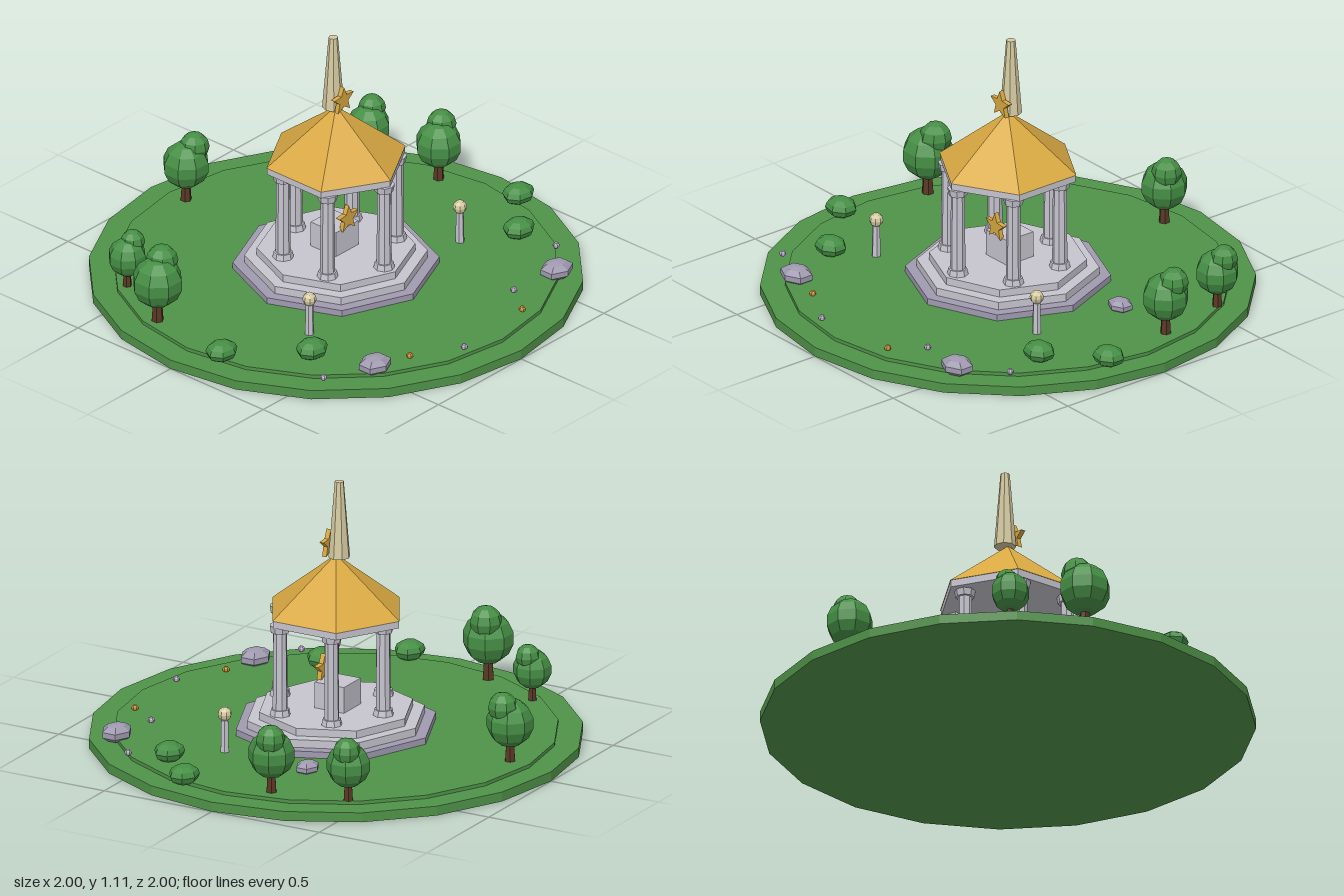
import * as THREE from 'three';

const mat = (name, color) => {
  const m = new THREE.MeshStandardMaterial({ color, flatShading: true });
  m.name = name;
  return m;
};

export function createModel() {
  const model = new THREE.Group();
  model.name = 'gardenPavilion';

  const grass = mat('grass', 0x509349);
  const leaf = mat('leaf', 0x468f45);
  const bark = mat('bark', 0x5a3825);
  const paleStone = mat('paleStone', 0xc6c4ce);
  const lilacStone = mat('lilacStone', 0xa09ab0);
  const gold = mat('gold', 0xd8a842);
  const cream = mat('cream', 0xd6cba2);
  const orange = mat('orange', 0xd08f35);
  const lilac = mat('lilac', 0xb9abc9);

  const GROUND = 0.055;

  const add = (name, geo, material, x = 0, y = 0, z = 0, parent = model) => {
    const mesh = new THREE.Mesh(geo, material);
    mesh.name = name;
    mesh.position.set(x, y, z);
    parent.add(mesh);
    return mesh;
  };
  // Upright prism or frustum standing between two heights
  const prism = (name, material, rTop, rBottom, y0, y1, sides, x = 0, z = 0, parent = model) =>
    add(name, new THREE.CylinderGeometry(rTop, rBottom, y1 - y0, sides), material, x, (y0 + y1) / 2, z, parent);
  const group = (name) => {
    const g = new THREE.Group();
    g.name = name;
    model.add(g);
    return g;
  };

  // Island
  prism('lawnBase', grass, 1, 1, 0, 0.04, 20);
  prism('lawnTop', grass, 0.9, 0.9, 0.04, GROUND, 20);

  // Octagonal steps
  prism('lowerStep', lilacStone, 0.417, 0.417, GROUND, 0.082, 8);
  prism('middleStep', paleStone, 0.37, 0.37, 0.08, 0.115, 8);
  prism('upperStep', paleStone, 0.32, 0.32, 0.115, 0.147, 8);

  // Six columns with base and capital
  for (let i = 0; i < 6; i++) {
    const a = (i * Math.PI) / 3;
    const x = 0.24 * Math.sin(a);
    const z = 0.02 + 0.24 * Math.cos(a);
    const column = group('column');
    prism('columnBase', paleStone, 0.038, 0.043, 0.147, 0.172, 8, x, z, column);
    prism('columnShaft', paleStone, 0.028, 0.031, 0.172, 0.505, 8, x, z, column);
    prism('columnCapital', paleStone, 0.043, 0.038, 0.5, 0.53, 8, x, z, column);
  }

  // Roof and spire
  prism('roofSlab', paleStone, 0.292, 0.292, 0.528, 0.558, 6);
  add('roof', new THREE.ConeGeometry(0.295, 0.235, 6), gold, 0, 0.6755, 0);
  prism('spire', cream, 0.019, 0.045, 0.785, 1.107, 8, 0, -0.015);

  // Five-pointed stars
  const starShape = new THREE.Shape();
  for (let i = 0; i < 10; i++) {
    const r = i % 2 ? 0.027 : 0.06;
    const a = Math.PI / 2 + (i * Math.PI) / 5;
    starShape[i ? 'lineTo' : 'moveTo'](r * Math.cos(a), r * Math.sin(a));
  }
  starShape.closePath();
  const starGeo = new THREE.ExtrudeGeometry(starShape, { depth: 0.02, bevelEnabled: false });
  starGeo.translate(0, 0, -0.01);
  add('roofStar', starGeo, gold, 0, 0.835, 0.034);

  // Altar under the roof with its star
  add('altar', new THREE.BoxGeometry(0.136, 0.11, 0.136), paleStone, 0, 0.202, -0.008);
  add('altarStar', starGeo, gold, 0, 0.298, 0.06);

  // Trees: x, z, scale, sideways shift of the small crown
  const trees = [
    [0, -0.81, 0.92, 0.015],
    [-0.68, -0.52, 0.75, 0.005],
    [-0.81, -0.24, 1, -0.01],
    [0.74, -0.485, 0.85, -0.01],
    [0.805, -0.165, 0.91, -0.015],
  ];
  for (const [x, z, s, dz] of trees) {
    const tree = group('tree');
    prism('trunk', bark, 0.018 * s, 0.025 * s, GROUND, GROUND + 0.11 * s, 6, x, z, tree);
    const crown = add('crown', new THREE.SphereGeometry(0.106 * s, 8, 7), leaf, x, GROUND + 0.177 * s, z, tree);
    crown.rotation.y = Math.PI / 8;
    crown.scale.y = 1.03;
    add('upperCrown', new THREE.SphereGeometry(0.067 * s, 8, 6), leaf, x + 0.037 * s, GROUND + 0.258 * s, z + dz, tree);
  }

  // Bushes
  for (const [x, z] of [[-0.87, 0.16], [-0.615, 0.42], [0.885, 0.195], [0.675, 0.385]]) {
    const bush = add('bush', new THREE.SphereGeometry(0.07, 7, 6), leaf, x, 0.09, z);
    bush.scale.set(1.02, 0.6, 0.88);
  }

  // Rocks, six-sided and flattened
  for (const [x, z, r] of [[-0.52, 0.675, 0.065], [0.545, 0.705, 0.065], [0.515, -0.165, 0.05]]) {
    const geo = new THREE.SphereGeometry(r, 6, 5);
    geo.rotateY(Math.PI / 6);
    const rock = add('rock', geo, lilacStone, x, GROUND + 0.31 * r, z);
    rock.scale.set(1.2, 0.58, 0.97);
  }

  // Lamp posts
  for (const [x, z] of [[-0.485, 0.29], [0.48, 0.24]]) {
    const lamp = group('lamp');
    prism('lampPost', paleStone, 0.016, 0.019, GROUND, 0.195, 6, x, z, lamp);
    add('lampGlobe', new THREE.SphereGeometry(0.029, 8, 6), cream, x, 0.215, z, lamp);
  }

  // Small flowers along the front edge
  const flowers = [
    [-0.725, 0.58, lilac], [-0.36, 0.72, orange], [-0.16, 0.835, lilac],
    [0.225, 0.805, orange], [0.32, 0.675, lilac], [0.705, 0.56, lilac],
  ];
  for (const [x, z, m] of flowers) {
    add('flower', new THREE.SphereGeometry(0.014, 6, 5), m, x, 0.063, z);
  }

  return model;
}
